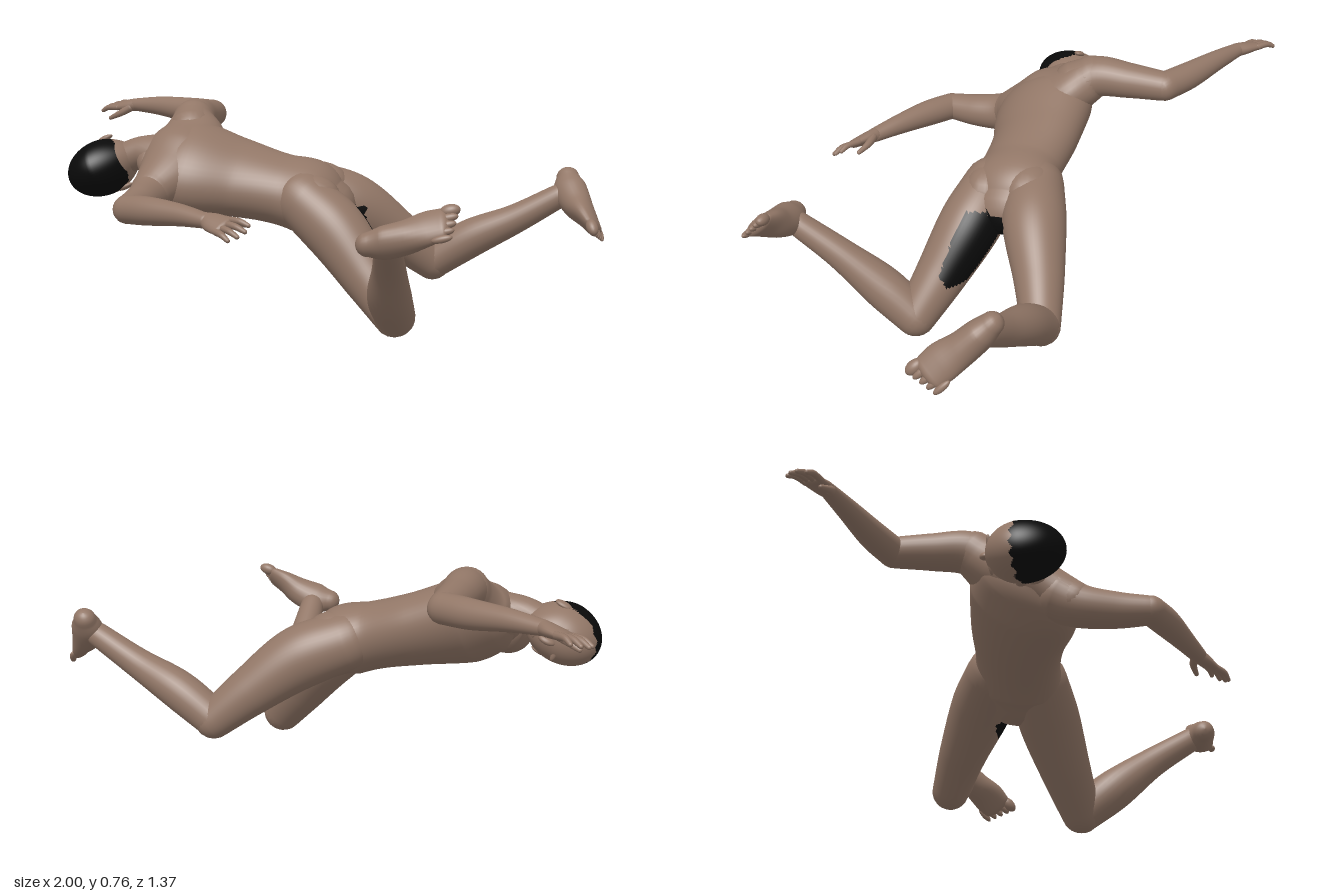
import * as THREE from 'three';
import { mergeVertices } from 'three/addons/utils/BufferGeometryUtils.js';

const V = (a) => new THREE.Vector3(...a);

export function createModel() {
  const skin = new THREE.MeshStandardMaterial({ color: 0x927767 });
  skin.name = 'skin';
  const dark = new THREE.MeshStandardMaterial({ color: 0x0a0a0a });
  dark.name = 'dark hair';
  const figure = new THREE.Group();
  figure.name = 'figure';

  // Splits the faces of a geometry into skin and dark by a rule on their centres
  function paint(geo, isDark) {
    const p = geo.attributes.position, idx = geo.index.array, sets = [[], []];
    for (let i = 0; i < idx.length; i += 3) {
      const t = [idx[i], idx[i + 1], idx[i + 2]];
      const c = new THREE.Vector3();
      t.forEach((k) => c.add(new THREE.Vector3().fromBufferAttribute(p, k)));
      sets[isDark(c.divideScalar(3)) ? 1 : 0].push(...t);
    }
    geo.setIndex([...sets[0], ...sets[1]]);
    geo.addGroup(0, sets[0].length, 0);
    geo.addGroup(sets[0].length, sets[1].length, 1);
  }

  // Smooth limb through stations [x, y, z, halfWidth, halfDepth, roll] with rounded ends
  function limb(parent, name, stations, hint = [0, 0, -1], isDark = null, sides = 28, steps = 7) {
    const path = new THREE.CatmullRomCurve3(stations.map((s) => V(s.slice(0, 3))));
    const size = new THREE.CatmullRomCurve3(
      stations.map((s) => new THREE.Vector3(s[3], s[4] ?? s[3], s[5] ?? 0)), false, 'catmullrom');
    const n = (stations.length - 1) * steps, rings = [], caps = 5;
    const ring = (t, lift, shrink) => {
      const tan = path.getTangent(t), s = size.getPoint(t);
      const c = path.getPoint(t).addScaledVector(tan, lift * Math.min(s.x, s.y));
      const u = V(hint).applyAxisAngle(tan, s.z);
      u.addScaledVector(tan, -u.dot(tan)).normalize();
      const v = tan.clone().cross(u);
      rings.push({ c, u: u.multiplyScalar(s.x * shrink), v: v.multiplyScalar(s.y * shrink) });
    };
    for (let k = 0; k < caps; k++) {
      const a = (1 - k / caps) * Math.PI / 2;
      ring(0, -Math.sin(a), Math.max(Math.cos(a), 0.001));
    }
    for (let i = 0; i <= n; i++) ring(i / n, 0, 1);
    for (let k = 1; k <= caps; k++) {
      const a = k / caps * Math.PI / 2;
      ring(1, Math.sin(a), Math.max(Math.cos(a), 0.001));
    }
    const pos = [], idx = [];
    for (const r of rings) for (let j = 0; j < sides; j++) {
      const a = j / sides * Math.PI * 2;
      const q = r.c.clone().addScaledVector(r.u, Math.cos(a)).addScaledVector(r.v, Math.sin(a));
      pos.push(q.x, q.y, q.z);
    }
    for (let i = 0; i < rings.length - 1; i++) for (let j = 0; j < sides; j++) {
      const a = i * sides + j, b = i * sides + (j + 1) % sides;
      idx.push(a, b, a + sides, b, b + sides, a + sides);
    }
    const geo = new THREE.BufferGeometry();
    geo.setAttribute('position', new THREE.Float32BufferAttribute(pos, 3));
    geo.setIndex(idx);
    geo.computeVertexNormals();
    if (isDark) paint(geo, isDark);
    const mesh = new THREE.Mesh(geo, isDark ? [skin, dark] : skin);
    mesh.name = name;
    parent.add(mesh);
  }

  function blob(parent, name, at, scale) {
    const mesh = new THREE.Mesh(new THREE.SphereGeometry(1, 20, 14), skin);
    mesh.name = name;
    mesh.position.set(...at);
    mesh.scale.set(...scale);
    parent.add(mesh);
  }

  // Group whose z points forward and whose y points up
  function frame(name, at, forward, up) {
    const g = new THREE.Group(), z = V(forward).normalize();
    const x = V(up).cross(z).normalize();
    g.name = name;
    g.quaternion.setFromRotationMatrix(new THREE.Matrix4().makeBasis(x, z.clone().cross(x), z));
    g.position.set(...at);
    figure.add(g);
    return g;
  }

  // Torso, twisted between shoulders and hips
  limb(figure, 'torso', [
    [-0.545, 0.565, 0.01, 0.09, 0.06, 0.6],
    [-0.5, 0.55, 0, 0.16, 0.1, 0.6],
    [-0.41, 0.532, -0.005, 0.195, 0.13, 0.58],
    [-0.25, 0.495, -0.035, 0.168, 0.119, 0.48],
    [-0.1, 0.46, -0.045, 0.148, 0.115, 0.35],
    [0, 0.435, -0.055, 0.165, 0.122, 0.24],
    [0.06, 0.4, -0.06, 0.135, 0.1, 0.2],
  ], [0, 0, -1], (c) => c.x > 0.1 && c.z < 0.03 && c.z > -0.15 && c.y < 0.415, 48, 9);
  limb(figure, 'shoulderGirdle', [[-0.458, 0.678, -0.165, 0.077, 0.077],
    [-0.44, 0.618, -0.09, 0.125, 0.09], [-0.45, 0.56, 0, 0.135, 0.11],
    [-0.465, 0.515, 0.08, 0.115, 0.09], [-0.497, 0.465, 0.16, 0.077, 0.072]], [1, 0, 0]);
  blob(figure, 'rightButtock', [0.015, 0.462, -0.128], [0.112, 0.088, 0.092]);
  blob(figure, 'leftButtock', [0.02, 0.434, 0.02], [0.112, 0.088, 0.085]);

  // Neck
  limb(figure, 'neck', [[-0.5, 0.57, 0.005, 0.1, 0.07, -0.6], [-0.55, 0.578, 0.003, 0.074, 0.062, -0.5],
    [-0.6, 0.577, 0, 0.06, 0.056, -0.2], [-0.68, 0.545, 0, 0.056]]);

  // Head: sphere narrowed towards the jaw, with a painted hair cap
  const head = frame('head', [-0.735, 0.522, 0.01], [0, -0.08, -1], [-0.9, -0.43, 0]);
  const skull = new THREE.SphereGeometry(1, 72, 54);
  skull.deleteAttribute('uv');
  skull.deleteAttribute('normal');
  const skullGeo = mergeVertices(skull, 1e-4);
  paint(skullGeo, (c) => c.z < 0.08 + 0.22 * c.y + 0.05 * Math.sin(c.x * 17) &&
    c.y > -0.68 + 0.42 * Math.max(0, c.z + 0.4));
  const sp = skullGeo.attributes.position;
  for (let i = 0; i < sp.count; i++) {
    const x = sp.getX(i), y = sp.getY(i), z = sp.getZ(i), low = Math.max(0, -y);
    sp.setXYZ(i, x * 0.098 * (1 - 0.22 * low * low),
      y * 0.13 - (z > 0 ? 0.014 * low * z : 0),
      z * (z < 0 ? 0.138 * (1 - 0.25 * low) : 0.115 * (1 + 0.14 * low)));
  }
  skullGeo.computeVertexNormals();
  const skullMesh = new THREE.Mesh(skullGeo, [skin, dark]);
  skullMesh.name = 'skullAndHair';
  head.add(skullMesh);
  blob(head, 'nose', [0, -0.026, 0.114], [0.013, 0.03, 0.02]);
  blob(head, 'lips', [0, -0.072, 0.1], [0.024, 0.01, 0.009]);
  blob(head, 'chin', [0, -0.1, 0.074], [0.036, 0.024, 0.026]);
  for (const s of [-1, 1]) {
    blob(head, 'brow', [s * 0.034, 0.016, 0.099], [0.03, 0.01, 0.008]);
    blob(head, 'ear', [s * 0.093, -0.04, 0.012], [0.01, 0.03, 0.018]);
  }

  // Arms
  limb(figure, 'rightUpperArm', [[-0.445, 0.645, -0.11, 0.085], [-0.46, 0.683, -0.185, 0.073],
    [-0.47, 0.685, -0.3, 0.062], [-0.475, 0.685, -0.425, 0.052]], [0, 1, 0]);
  limb(figure, 'rightForearm', [[-0.475, 0.685, -0.43, 0.051], [-0.58, 0.69, -0.482, 0.048],
    [-0.72, 0.7, -0.54, 0.036], [-0.84, 0.7, -0.583, 0.024, 0.027]], [0, 1, 0]);
  limb(figure, 'leftUpperArm', [[-0.488, 0.49, 0.11, 0.085], [-0.5, 0.452, 0.185, 0.07],
    [-0.495, 0.437, 0.3, 0.059], [-0.495, 0.433, 0.4, 0.048]], [0, 1, 0]);
  limb(figure, 'leftForearm', [[-0.495, 0.433, 0.405, 0.048], [-0.4, 0.437, 0.455, 0.047],
    [-0.27, 0.437, 0.515, 0.036], [-0.17, 0.43, 0.565, 0.025, 0.028]], [0, 1, 0]);

  // Hands: palm, four spread fingers and a thumb
  function hand(name, at, forward, up) {
    const g = frame(name, at, forward, up);
    limb(g, 'palm', [[0, 0, 0, 0.027, 0.024], [0, 0, 0.035, 0.038, 0.022],
      [0, 0, 0.085, 0.042, 0.016]], [1, 0, 0], null, 20, 4);
    [0.078, 0.092, 0.086, 0.068].forEach((len, i) => {
      const x = 0.031 - i * 0.0205, a = 0.13 - i * 0.1;
      limb(g, 'finger', [[x, 0, 0.08, 0.0115], [x + Math.sin(a) * len * 0.6, 0.003, 0.085 + len * 0.55, 0.0105],
        [x + Math.sin(a) * len, -0.007, 0.085 + len * 0.95, 0.0075]], [1, 0, 0], null, 10, 4);
    });
    limb(g, 'thumb', [[0.022, -0.006, 0.02, 0.016], [0.047, -0.021, 0.058, 0.0125],
      [0.058, -0.034, 0.105, 0.008]], [1, 0, 0], null, 10, 4);
  }
  hand('rightHand', [-0.835, 0.7, -0.58], [-0.87, -0.08, -0.46], [-0.1, 1, 0.2]);
  hand('leftHand', [-0.17, 0.432, 0.563], [0.83, -0.12, 0.53], [0, 0.8, 0.6]);

  // Legs with a dark patch inside the thighs
  limb(figure, 'rightThigh', [[-0.02, 0.452, -0.13, 0.1], [0.12, 0.395, -0.187, 0.108],
    [0.27, 0.28, -0.267, 0.085], [0.385, 0.18, -0.322, 0.066]], [0, 0, -1],
  (c) => c.x > 0.09 && c.x < 0.19 && c.z > -0.135 && c.y < 0.4 && c.y > 0.29, 48, 14);
  limb(figure, 'rightShin', [[0.385, 0.182, -0.322, 0.065], [0.52, 0.268, -0.32, 0.068],
    [0.68, 0.345, -0.315, 0.052], [0.83, 0.43, -0.32, 0.042]]);
  limb(figure, 'leftThigh', [[0.0, 0.43, 0.02, 0.1], [0.12, 0.335, 0.05, 0.108],
    [0.25, 0.185, 0.105, 0.088], [0.348, 0.07, 0.152, 0.07]], [0, 0, -1],
  (c) => c.x > 0.08 && c.x < 0.32 && c.y < 0.42 && c.y > 0.19 && c.z < 0.02 + 0.28 * (c.x - 0.12) &&
    c.y > 0.33 - 1.15 * (c.x - 0.12), 56, 18);
  limb(figure, 'leftShin', [[0.35, 0.07, 0.152, 0.069], [0.356, 0.16, 0.268, 0.073],
    [0.385, 0.275, 0.41, 0.054], [0.41, 0.37, 0.55, 0.043]]);

  // Feet: one loft from heel to ball, then five toes; inner is the big toe side
  function foot(name, at, forward, up, inner) {
    const g = frame(name, at, forward, up);
    limb(g, 'footBody', [[0, -0.036, -0.058, 0.037, 0.04], [0, -0.028, -0.01, 0.048, 0.058],
      [0, -0.033, 0.065, 0.054, 0.052], [inner * 0.004, -0.047, 0.13, 0.062, 0.036],
      [inner * 0.003, -0.056, 0.18, 0.058, 0.025]], [1, 0, 0], null, 26, 5);
    for (let i = 0; i < 5; i++) {
      const r = i === 0 ? 0.021 : 0.0145 - i * 0.0006;
      blob(g, 'toe', [inner * (0.044 - i * 0.025), -0.06, 0.209 - i * 0.008], [r, r * 0.95, 0.033]);
    }
  }
  foot('rightFoot', [0.847, 0.437, -0.32], [0.11, -0.2, 0.19], [-0.85, -0.5, 0.05], 1);
  foot('leftFoot', [0.418, 0.37, 0.568], [0.965, 0.23, -0.06], [-0.1, -0.72, -0.68], -1);

  return figure;
}
